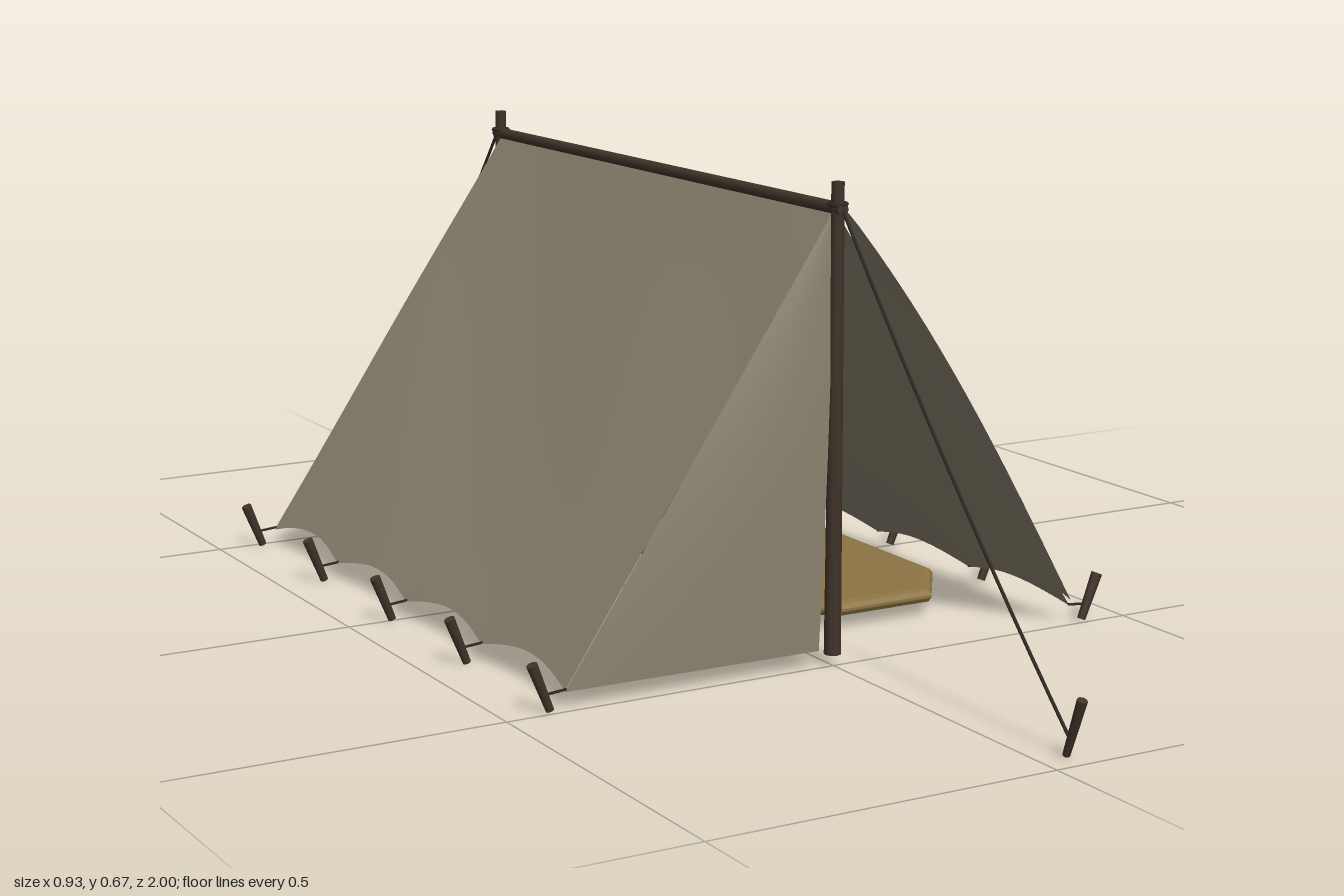
import * as THREE from 'three';

const V = (x, y, z) => new THREE.Vector3(x, y, z);
const mat = (color, side = THREE.FrontSide) => {
  const m = new THREE.MeshStandardMaterial({ side });
  m.color.set(color);
  return m;
};
const canvas = mat(0x8c8370, THREE.DoubleSide);
const wood = mat(0x41342a);
const rope = mat(0x2e2a24);
const straw = mat(0x8c7443);
const wool = mat(0x3c4650);

function add(parent, name, geometry, material) {
  const mesh = new THREE.Mesh(geometry, material);
  mesh.name = name;
  parent.add(mesh);
  return mesh;
}

// Cloth sheet: fn(u, v) gives the point for u, v in 0..1
function sheet(nu, nv, fn) {
  const g = new THREE.PlaneGeometry(1, 1, nu, nv);
  const p = g.attributes.position;
  for (let i = 0; i < p.count; i++) {
    const q = fn(p.getX(i) + 0.5, 0.5 - p.getY(i));
    p.setXYZ(i, q.x, q.y, q.z);
  }
  g.computeVertexNormals();
  return g;
}

// Triangular cloth from apex a to base b-c, pushed out along a vector
function triangle(a, b, c, push, bulge) {
  return sheet(16, 16, (u, v) =>
    a.clone().lerp(b.clone().lerp(c, u), v).addScaledVector(push, bulge(u, v)));
}

// Round stick between two points
function stick(a, b, r0, r1 = r0, sides = 8) {
  const d = b.clone().sub(a);
  const g = new THREE.CylinderGeometry(r1, r0, d.length(), sides);
  g.applyQuaternion(new THREE.Quaternion().setFromUnitVectors(V(0, 1, 0), d.normalize()));
  const c = a.clone().add(b).multiplyScalar(0.5);
  return g.translate(c.x, c.y, c.z);
}

function sagLine(a, b, sag, r) {
  const mid = a.clone().lerp(b, 0.5).add(V(0, -sag, 0));
  const ctrl = mid.multiplyScalar(2).sub(a.clone().add(b).multiplyScalar(0.5));
  return new THREE.TubeGeometry(new THREE.QuadraticBezierCurve3(a, ctrl, b), 14, r, 5);
}

export function createModel() {
  const tent = new THREE.Group();
  tent.name = 'tent';

  // Roof halves, scalloped between the pegs along the hem
  for (const s of [-1, 1]) {
    const geo = sheet(48, 16, (u, v) => {
      const z = 0.49 - 0.98 * u;
      const scallop = Math.abs(Math.sin(4 * Math.PI * u));
      const sag = 0.008 * Math.sin(Math.PI * v) * Math.sin(Math.PI * u);
      const wave = 0.0015 * Math.sin(9 * u + 5 * v) * Math.sin(Math.PI * v);
      const hem = scallop * Math.pow(v, 8);
      return V(s * (0.41 * v - 0.82 * (sag + wave) - 0.012 * hem),
        0.63 - 0.603 * v - 0.57 * (sag + wave) + 0.018 * hem, z);
    });
    add(tent, s > 0 ? 'leftRoof' : 'rightRoof', geo, canvas);
  }

  // Back wall, bellied slightly outward
  add(tent, 'backWall', triangle(V(0, 0.63, -0.49), V(-0.41, 0.025, -0.49), V(0.41, 0.025, -0.49),
    V(0, 0, -0.02), (u, v) => Math.sin(Math.PI * u) * Math.sin(Math.PI * (0.1 + 0.8 * v))), canvas);

  // Closed front flap
  add(tent, 'closedFlap', triangle(V(-0.002, 0.63, 0.492), V(-0.41, 0.025, 0.49), V(-0.022, 0.025, 0.497),
    V(0, 0, 0.012), (u, v) => Math.sin(Math.PI * v) * Math.sin(Math.PI * u * 0.85)), canvas);

  // Open front flap, folded back over the roof and tied
  const flapTip = V(0.302, 0.222, 0.15);
  add(tent, 'openFlap', triangle(V(0.004, 0.64, 0.495), V(0.412, 0.035, 0.49), flapTip,
    V(0.82, 0.57, 0), (u, v) => 0.02 * Math.sin(Math.PI * Math.pow(v, 0.8))), canvas);
  add(tent, 'flapTie', sagLine(flapTip, V(0.29, 0.214, 0.07), -0.003, 0.0022), rope);

  // Poles
  add(tent, 'ridgePole', stick(V(0, 0.632, -0.51), V(0, 0.632, 0.51), 0.009), wood);
  for (const s of [-1, 1]) {
    add(tent, s > 0 ? 'frontPole' : 'backPole',
      stick(V(0, 0.018, s * 0.497), V(0, 0.668, s * 0.497), 0.012, 0.009), wood);
  }

  // Guy lines with their pegs, and a lashing round each pole
  for (const s of [-1, 1]) {
    const end = s > 0 ? 'front' : 'back';
    add(tent, end + 'GuyLine',
      sagLine(V(0, 0.637, s * 0.505), V(s * 0.04, 0.03, s * 0.97), 0.016, 0.0025), rope);
    add(tent, end + 'GuyPeg',
      stick(V(s * 0.04, 0.004, s * 0.966), V(s * 0.04, 0.083, s * 0.995), 0.005, 0.007), wood);
    const lash = new THREE.TorusGeometry(0.012, 0.003, 5, 12).rotateX(Math.PI / 2);
    add(tent, end + 'Lashing', lash.translate(0, 0.638, s * 0.497), rope);
  }

  // Hem pegs with short loops
  for (const s of [-1, 1]) {
    for (let i = 0; i < 5; i++) {
      const z = -0.49 + 0.245 * i;
      add(tent, 'hemPeg', stick(V(s * 0.432, 0.004, z), V(s * 0.458, 0.069, z), 0.006, 0.008), wood);
      add(tent, 'hemLoop', stick(V(s * 0.408, 0.029, z), V(s * 0.441, 0.026, z), 0.002, 0.002, 5), rope);
    }
  }

  // Sleeping mat with chamfered ends
  const outline = new THREE.Shape([[0.1, 0.35], [0.25, 0.35], [0.315, 0.26], [0.315, -0.31],
    [0.28, -0.35], [0.07, -0.35], [0.035, -0.31], [0.035, 0.26]].map(([x, z]) => new THREE.Vector2(x, -z)));
  const pad = new THREE.ExtrudeGeometry(outline,
    { depth: 0.004, bevelEnabled: true, bevelSize: 0.014, bevelThickness: 0.009, bevelSegments: 2 });
  add(tent, 'sleepingMat', pad.rotateX(-Math.PI / 2).translate(0, 0.029, 0), straw);

  // Folded blanket and bedroll at the back of the mat
  const fold = new THREE.CylinderGeometry(0.707, 0.76, 1, 4).rotateY(Math.PI / 4);
  add(tent, 'foldedBlanket', fold.toNonIndexed().scale(0.25, 0.016, 0.15).translate(0.18, 0.05, -0.27), wool)
    .geometry.computeVertexNormals();
  add(tent, 'bedroll', stick(V(0.055, 0.077, -0.28), V(0.297, 0.077, -0.28), 0.028, 0.028, 12), wool);

  return tent;
}
